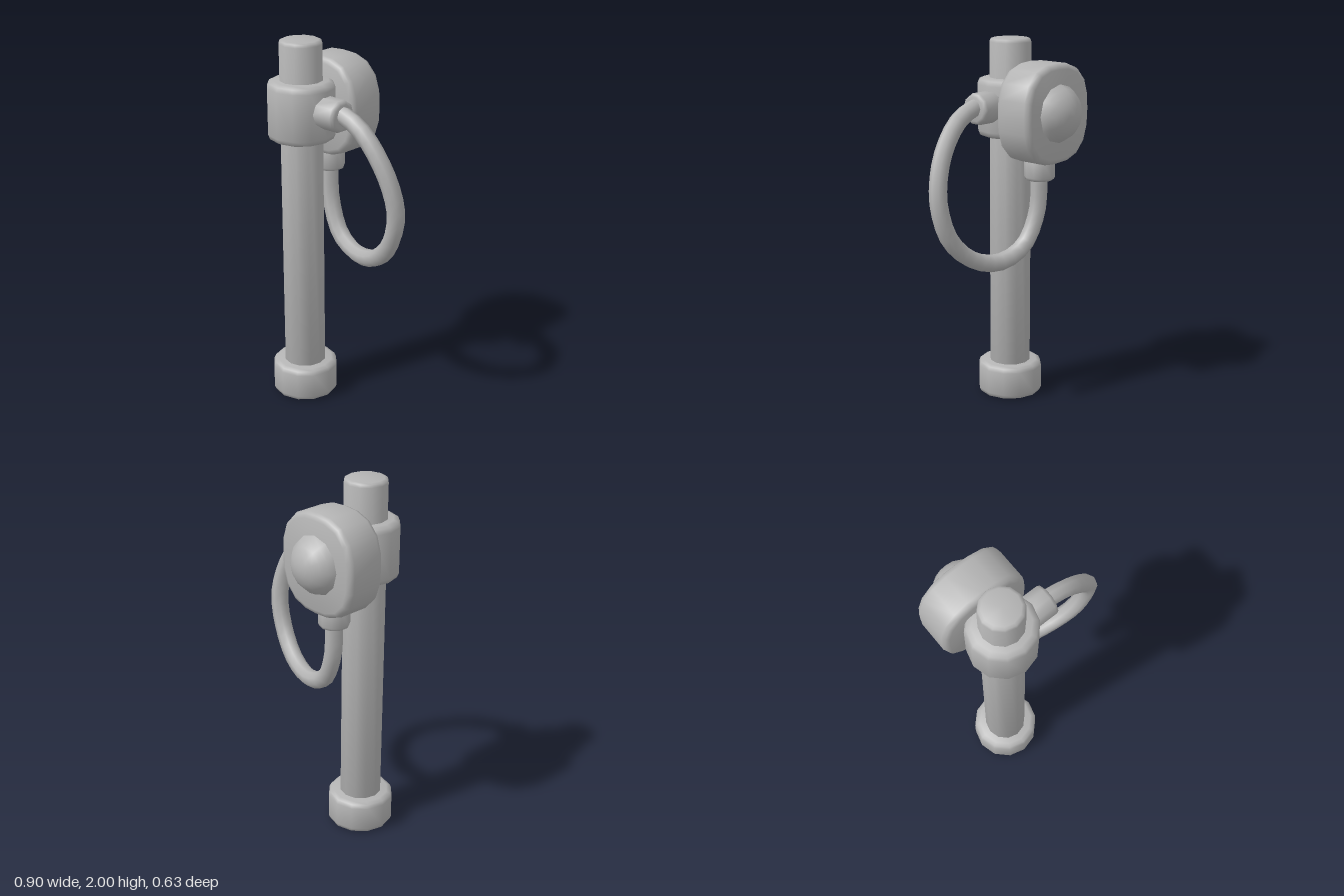
import * as THREE from 'three';
import { toCreasedNormals } from 'three/addons/utils/BufferGeometryUtils.js';

const V = (x, y, z) => new THREE.Vector3(x, y, z);

// Solid of revolution with softly bevelled rims, standing from y = 0 to y = h
function barrel(r, h, bevel, sides) {
  const p = [[0, 0], [r - bevel, 0], [r - bevel * 0.3, bevel * 0.3], [r, bevel],
    [r, h - bevel], [r - bevel * 0.3, h - bevel * 0.3], [r - bevel, h], [0, h]];
  return new THREE.LatheGeometry(p.map(([x, y]) => new THREE.Vector2(x, y)), sides);
}

export function createModel() {
  const group = new THREE.Group();
  const grey = new THREE.MeshStandardMaterial({ color: 0xb4b4b4 });
  grey.name = 'grey';

  const add = (name, geometry, x, y, z) => {
    const mesh = new THREE.Mesh(toCreasedNormals(geometry, 0.9), grey);
    mesh.name = name;
    mesh.position.set(x, y, z);
    group.add(mesh);
    return mesh;
  };

  // Upright pole with its foot and collar
  const px = -0.2, pz = 0.135;
  add('pole', barrel(0.114, 1.9, 0.02, 12), px, 0.1, pz);
  add('foot', barrel(0.18, 0.19, 0.03, 12), px, 0, pz);
  add('collar', barrel(0.18, 0.315, 0.035, 12), px, 1.477, pz);

  // Rounded square housing: a barrel whose outline is pushed out to a squircle
  const housing = barrel(1, 0.225, 0.03, 20);
  const pos = housing.attributes.position;
  const outer = 1, power = 2.6;
  for (let i = 0; i < pos.count; i++) {
    const x = pos.getX(i), z = pos.getZ(i), r = Math.hypot(x, z);
    if (r < 1e-6) continue;
    const c = x / r, s = z / r;
    const k = (Math.abs(c) ** power + Math.abs(s) ** power) ** (-1 / power);
    const inset = outer - r;
    pos.setX(i, c * (k * 0.25 - inset));
    pos.setZ(i, s * (k * 0.265 - inset));
  }
  housing.rotateX(-Math.PI / 2);
  add('housing', housing, px, 1.625, 0.015);

  // Shallow dome on the back of the housing
  const R = 0.167, rim = Math.asin(0.155 / R), dome = [];
  for (let i = 0; i <= 5; i++) {
    const a = rim * (1 - i / 5);
    dome.push(new THREE.Vector2(R * Math.sin(a), R * (Math.cos(a) - Math.cos(rim))));
  }
  const domeGeometry = new THREE.LatheGeometry(dome, 12);
  domeGeometry.rotateX(-Math.PI / 2);
  add('dome', domeGeometry, px, 1.63, -0.208);

  // Sockets for the cable ends
  const side = barrel(0.085, 0.17, 0.02, 10);
  side.rotateZ(-Math.PI / 2);
  add('collarSocket', side, -0.08, 1.65, 0.13);
  add('housingSocket', barrel(0.083, 0.13, 0.02, 10), px, 1.26, -0.075);

  // Cable looping from the collar round to the underside of the housing
  const path = new THREE.CatmullRomCurve3([
    V(0.03, 1.66, 0.13), V(0.1, 1.655, 0.13), V(0.21, 1.6, 0.13), V(0.32, 1.47, 0.12),
    V(0.385, 1.32, 0.1), V(0.4, 1.18, 0.08), V(0.34, 1.0, 0.06), V(0.21, 0.88, 0.02),
    V(0.05, 0.845, -0.02), V(-0.1, 0.91, -0.05), V(-0.185, 1.08, -0.07), V(-0.2, 1.3, -0.075)]);
  add('cable', new THREE.TubeGeometry(path, 28, 0.047, 8), 0, 0, 0);

  return group;
}
